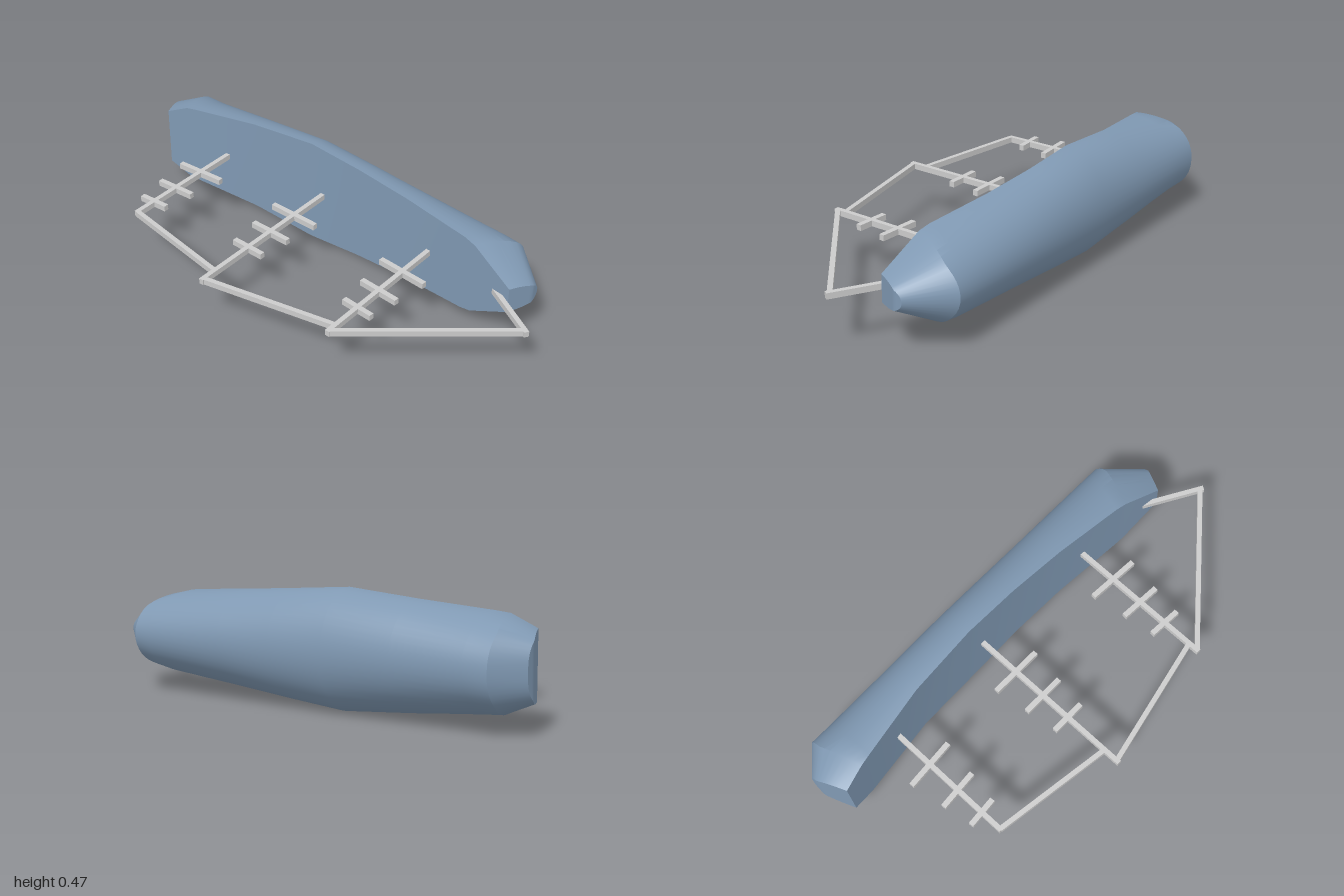
import * as THREE from 'three';
import { toCreasedNormals } from 'three/addons/utils/BufferGeometryUtils.js';

const CY = 0.235; // height of the ship's centre plane
const N = 24;     // segments across the hull section

// Half-round hull lofted through stations; the deck faces +z and the keel -z
function hullGeometry() {
  // deck x, keel x, deck z, keel z, half beam, section power (lower is squarer)
  const stations = [
    [-0.95, -1.0, -0.196, -0.36, 0.13, 0.75],
    [-0.85, -0.9, -0.212, -0.465, 0.178, 0.9],
    [-0.8, -0.8, -0.22, -0.465, 0.184, 0.95],
    [-0.5, -0.5, -0.264, -0.465, 0.21, 1],
    [-0.2, -0.2, -0.275, -0.465, 0.235, 1],
    [0.05, 0.05, -0.274, -0.465, 0.215, 1],
    [0.3, 0.3, -0.26, -0.465, 0.195, 1],
    [0.6, 0.66, -0.227, -0.465, 0.172, 1],
    [0.65, 0.73, -0.22, -0.465, 0.16, 1],
    [0.83, 0.878, -0.196, -0.325, 0.055, 0.9],
  ];
  const pos = [], index = [];
  stations.forEach(([xd, xk, zd, zk, half, p]) => {
    for (let j = 0; j <= N; j++) {
      const a = (j / N - 0.5) * Math.PI;
      const s = Math.sin(a), depth = Math.pow(Math.max(0, Math.cos(a)), p);
      // raked ends reach their full overhang before the keel
      const rake = Math.min(1, depth * 1.35);
      pos.push(xd + (xk - xd) * rake,
        CY + half * Math.sign(s) * Math.pow(Math.abs(s), p),
        zd + (zk - zd) * depth);
    }
  });
  const at = (i, j) => i * (N + 1) + j;
  const quad = (a, b, c, d) => index.push(a, b, c, a, c, d);
  const last = stations.length - 1;
  for (let i = 0; i < last; i++) {
    for (let j = 0; j < N; j++) {
      quad(at(i, j), at(i, j + 1), at(i + 1, j + 1), at(i + 1, j));
    }
    quad(at(i, 0), at(i + 1, 0), at(i + 1, N), at(i, N)); // deck
  }
  // stem and transom faces
  for (let j = 0; j < N / 2; j++) {
    const r = [j, j + 1, N - j - 1, N - j];
    const bow = r.map((k) => at(last, k)), stern = r.map((k) => at(0, k));
    if (j < N / 2 - 1) {
      index.push(bow[0], bow[1], bow[2], stern[0], stern[2], stern[1]);
    }
    index.push(bow[0], bow[2], bow[3], stern[0], stern[3], stern[2]);
  }
  const geo = new THREE.BufferGeometry();
  geo.setAttribute('position', new THREE.Float32BufferAttribute(pos, 3));
  geo.setIndex(index);
  return toCreasedNormals(geo, 0.45);
}

export function createModel() {
  const model = new THREE.Group();
  model.name = 'sailingShip';
  const hullMat = new THREE.MeshStandardMaterial({ color: 0x8099b3 });
  const sparMat = new THREE.MeshStandardMaterial({ color: 0xcccccc });

  const hull = new THREE.Mesh(hullGeometry(), hullMat);
  hull.name = 'hull';
  model.add(hull);

  // Square bar between two points on the centre plane
  function bar(name, x1, z1, x2, z2, width = 0.022, parent = model) {
    const dx = x2 - x1, dz = z2 - z1;
    const mesh = new THREE.Mesh(
      new THREE.BoxGeometry(Math.hypot(dx, dz), 0.024, width), sparMat);
    mesh.position.set((x1 + x2) / 2, CY, (z1 + z2) / 2);
    mesh.rotation.y = -Math.atan2(dz, dx);
    mesh.name = name;
    parent.add(mesh);
  }

  // Masts with their yards: [z, half length]; slope follows the deck's sheer
  const masts = [
    { name: 'mizzenMast', x: -0.645, top: 0.312, slope: -0.07,
      yards: [[-0.072, 0.108], [0.079, 0.085], [0.208, 0.064]] },
    { name: 'mainMast', x: -0.139, top: 0.463, slope: 0.01,
      yards: [[-0.09, 0.112], [0.056, 0.092], [0.19, 0.074]] },
    { name: 'foreMast', x: 0.422, top: 0.386, slope: 0.07,
      yards: [[-0.076, 0.11], [0.072, 0.088], [0.204, 0.069]] },
  ];
  for (const m of masts) {
    const group = new THREE.Group();
    group.name = m.name;
    bar('mastPole', m.x, -0.3, m.x, m.top, 0.02, group);
    for (const [z, h] of m.yards) {
      bar('yard', m.x - h, z - h * m.slope, m.x + h, z + h * m.slope, 0.022, group);
    }
    model.add(group);
  }

  // Bowsprit and the stays linking the mast heads
  bar('bowsprit', 0.74, -0.224, 0.988, -0.078, 0.02);
  bar('aftStay', -0.645, 0.305, -0.139, 0.386, 0.02);
  bar('middleStay', -0.139, 0.45, 0.422, 0.336, 0.02);
  bar('foreStay', 0.422, 0.378, 0.975, -0.085, 0.02);
  return model;
}
